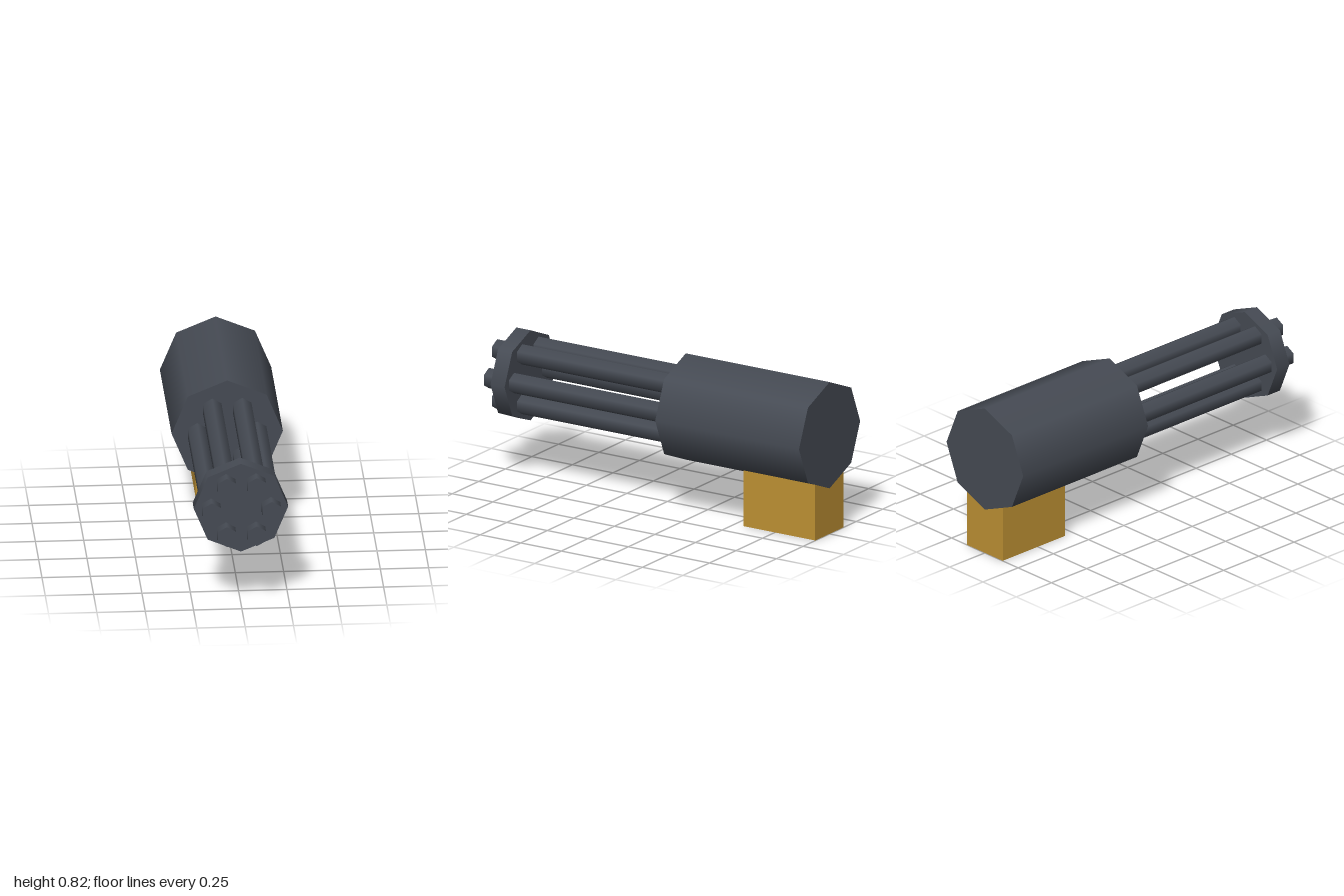
import * as THREE from 'three';

export function createModel() {
  const group = new THREE.Group();
  const steel = new THREE.MeshStandardMaterial({ color: 0x464b54 });
  steel.name = 'dark steel';
  const brass = new THREE.MeshStandardMaterial({ color: 0xbd9033 });
  brass.name = 'golden mount';
  const axisY = 0.535;

  // Prism lying along z between two depths, with a corner pointing up
  function prism(name, radius, sides, z0, z1, x = 0, y = 0) {
    const geometry = new THREE.CylinderGeometry(radius, radius, z1 - z0, sides);
    geometry.rotateX(Math.PI / 2);
    const mesh = new THREE.Mesh(geometry, steel);
    mesh.name = name;
    mesh.position.set(x, axisY + y, (z0 + z1) / 2);
    group.add(mesh);
  }

  // Housing and the plate that holds the barrels together
  prism('housing', 0.288, 8, -1, -0.113);
  prism('barrelClamp', 0.244, 8, 0.845, 0.932);

  // Ring of six barrels
  for (let i = 0; i < 6; i++) {
    const a = (i * Math.PI) / 3;
    prism('barrel' + (i + 1), 0.055, 6, -0.2, 1, 0.155 * Math.cos(a), 0.155 * Math.sin(a));
  }

  // Mount block, reaching up into the housing and just shy of its back face
  const mount = new THREE.Mesh(new THREE.BoxGeometry(0.267, 0.4, 0.443), brass);
  mount.name = 'mount';
  mount.position.set(0, 0.2, -0.7775);
  group.add(mount);

  return group;
}
